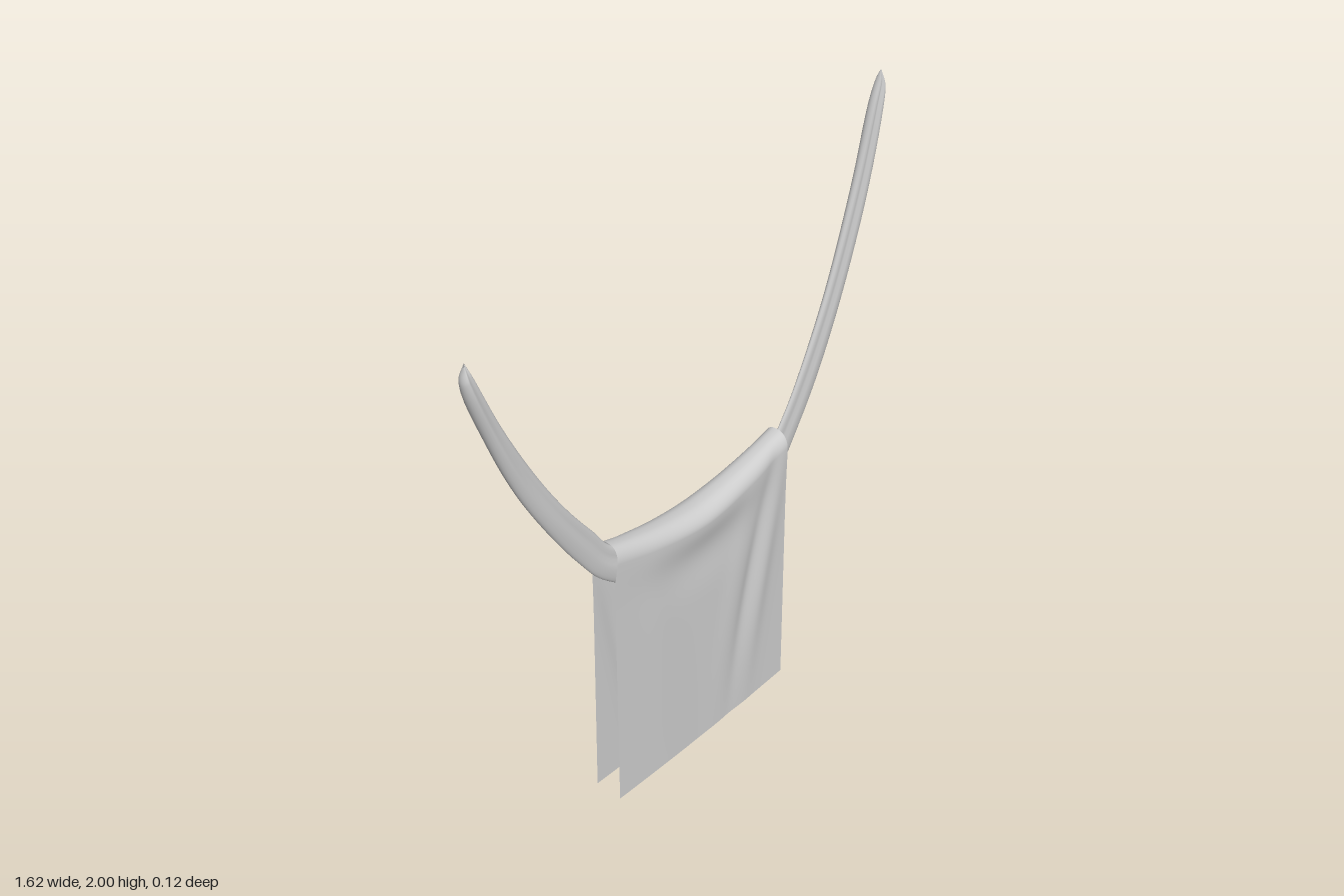
import * as THREE from 'three';

const fabric = new THREE.MeshStandardMaterial({ color: 0xcccccc, side: THREE.DoubleSide });
fabric.name = 'pale grey fabric';

const bump = (d, width) => Math.exp(-((d / width) ** 2));
const lerp = THREE.MathUtils.lerp;

// Stations of the strap: inner edge x, y, outer edge x, y, half thickness, centre z
const STATIONS = [
  [-0.80, 1.80, -0.804, 1.79, 0.003, -0.005],
  [-0.785, 1.765, -0.815, 1.74, 0.02, -0.005],
  [-0.70, 1.56, -0.748, 1.525, 0.024, -0.005],
  [-0.60, 1.36, -0.666, 1.325, 0.02, -0.003],
  [-0.50, 1.19, -0.566, 1.14, 0.017, 0],
  [-0.40, 1.05, -0.46, 0.975, 0.013, 0],
  [-0.33, 0.96, -0.37, 0.86, 0.012, 0],
  [-0.17, 0.90, -0.19, 0.735, 0.014, 0],
  [0, 0.88, 0, 0.68, 0.016, 0],
  [0.19, 0.90, 0.21, 0.695, 0.014, 0],
  [0.36, 0.94, 0.40, 0.81, 0.011, 0],
  [0.42, 1.01, 0.49, 0.935, 0.012, 0],
  [0.50, 1.15, 0.58, 1.10, 0.014, 0],
  [0.60, 1.37, 0.675, 1.335, 0.017, 0],
  [0.70, 1.67, 0.757, 1.61, 0.021, 0],
  [0.76, 1.91, 0.805, 1.88, 0.022, 0.002],
  [0.782, 1.975, 0.808, 1.945, 0.016, 0.004],
  [0.79, 2.00, 0.793, 1.998, 0.002, 0.006],
];

// Flattened loft between the two edges, with a shallow lengthwise groove
function strapGeometry() {
  const inner = new THREE.CatmullRomCurve3(STATIONS.map((s) => new THREE.Vector3(s[0], s[1], s[5])));
  const outer = new THREE.CatmullRomCurve3(STATIONS.map((s) => new THREE.Vector3(s[2], s[3], s[4])));
  const rings = 102, sides = 24;
  const positions = [], index = [];
  for (let i = 0; i <= rings; i++) {
    const a = inner.getPoint(i / rings), b = outer.getPoint(i / rings);
    for (let j = 0; j < sides; j++) {
      const t = (j / sides) * Math.PI * 2;
      const across = Math.cos(t);
      const k = (1 - across) / 2;
      const thick = Math.sin(t) * b.z * (1 - 0.45 * bump(across - 0.35, 0.28));
      positions.push(lerp(a.x, b.x, k), lerp(a.y, b.y, k), a.z + thick);
      if (i < rings) {
        const p = i * sides + j, q = i * sides + ((j + 1) % sides);
        index.push(p, p + sides, q, q, p + sides, q + sides);
      }
    }
  }
  const geometry = new THREE.BufferGeometry();
  geometry.setAttribute('position', new THREE.Float32BufferAttribute(positions, 3));
  geometry.setIndex(index);
  geometry.computeVertexNormals();
  return geometry;
}

// Height of the sagging top edge, s runs from -1 (right end) to 1 (left end)
const topHeight = (s) => 0.91 + 0.066 * Math.pow(Math.abs(s), 1.7);

// Distance of a hanging panel from the middle plane; s is mirrored on the back
function panelDepth(s, y) {
  const top = topHeight(s);
  const swag = 0.86 - 0.05 * (1 - s * s);
  let z = 0.042 + 0.006 * (1 - y);
  z += 0.016 * bump(s, 0.6) * bump(y - (top - 0.05), 0.075);
  z -= 0.007 * bump(s, 0.5) * bump(y - (swag - 0.07), 0.09);
  // slanted folds, strongest in the upper middle
  const fade = bump(y - 0.52, 0.36);
  const line = (x0, slope) => s - (x0 + slope * (y - 0.5) + 0.25 * (y - 0.5) ** 2);
  z += 0.009 * fade * bump(line(0.72, 0.5), 0.09);
  z -= 0.009 * fade * bump(line(0.56, 0.6), 0.08);
  z += 0.004 * fade * bump(line(0.36, 0.55), 0.12);
  z += 0.003 * fade * bump(line(-0.5, -0.35), 0.18);
  return z;
}

// One sheet: up the front, over the strap and down the back
function clothGeometry() {
  const geometry = new THREE.PlaneGeometry(2, 2, 72, 120);
  const pos = geometry.attributes.position;
  for (let i = 0; i < pos.count; i++) {
    const s = pos.getX(i);
    const v = pos.getY(i); // -1 front hem, 0 ridge, 1 back hem
    const face = v <= 0 ? 1 : -1;
    const along = 1 - Math.abs(v);
    const top = topHeight(s);
    const radius = 0.05;
    const hem = 0.005 + 0.008 * s * s;
    const shoulder = top - radius;
    let y, z;
    if (along < 0.8) {
      y = lerp(hem, shoulder, along / 0.8);
      z = panelDepth(s * face, y);
    } else {
      const t = ((along - 0.8) / 0.2) * Math.PI / 2;
      y = shoulder + radius * Math.sin(t);
      z = panelDepth(s * face, y) * Math.pow(Math.cos(t), 0.8);
      if (along > 0.9999) z = 0;
    }
    // side edges widen slightly towards the hem
    const drop = Math.max(0, top - y);
    const right = -0.345 - 0.02 * Math.min(1, drop / 0.12) - 0.014 * drop;
    const left = 0.385 + (face > 0 ? 0.005 : 0.018) * drop;
    pos.setXYZ(i, lerp(right, left, (s + 1) / 2), y, face * z);
  }
  geometry.computeVertexNormals();
  return geometry;
}

export function createModel() {
  const model = new THREE.Group();
  model.name = 'drapedCloth';
  const add = (name, geometry) => {
    const mesh = new THREE.Mesh(geometry, fabric);
    mesh.name = name;
    model.add(mesh);
  };
  add('hangingStrap', strapGeometry());
  add('foldedCloth', clothGeometry());
  return model;
}
